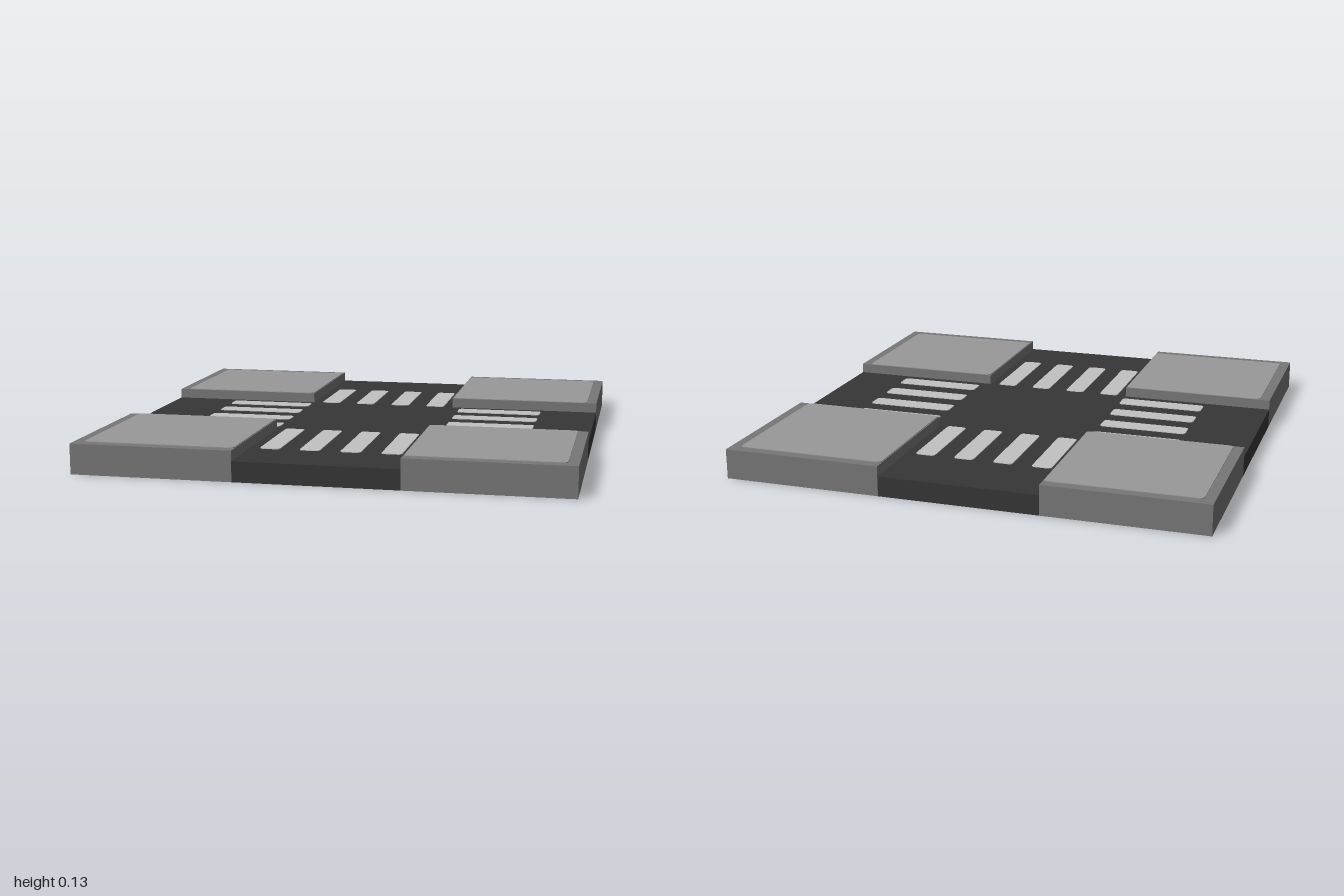
import * as THREE from 'three';

const mat = (name, color) => {
  const m = new THREE.MeshStandardMaterial({ color });
  m.name = name;
  return m;
};

// Flat slab with rounded corners, lying on y between x0..x1 and z0..z1
function plate(name, material, x0, x1, z0, z1, y, thick, r) {
  const a = -z1, b = -z0; // shape y becomes -z once laid flat
  const s = new THREE.Shape();
  s.moveTo(x0 + r, a);
  s.lineTo(x1 - r, a).quadraticCurveTo(x1, a, x1, a + r);
  s.lineTo(x1, b - r).quadraticCurveTo(x1, b, x1 - r, b);
  s.lineTo(x0 + r, b).quadraticCurveTo(x0, b, x0, b - r);
  s.lineTo(x0, a + r).quadraticCurveTo(x0, a, x0 + r, a);
  const g = new THREE.ExtrudeGeometry(s, { depth: thick, bevelEnabled: false, curveSegments: 4 });
  g.rotateX(-Math.PI / 2);
  const mesh = new THREE.Mesh(g, material);
  mesh.name = name;
  mesh.position.y = y;
  return mesh;
}

// Box standing on y = 0
function block(name, material, x, z, w, h, d) {
  const mesh = new THREE.Mesh(new THREE.BoxGeometry(w, h, d), material);
  mesh.name = name;
  mesh.position.set(x, h / 2, z);
  return mesh;
}

export function createModel() {
  const asphalt = mat('asphalt', 0x363636);
  const kerb = mat('kerb', 0x777777);
  const paving = mat('paving', 0x999999);
  const paint = mat('roadPaint', 0xc2c2c2);

  const model = new THREE.Group();
  model.name = 'crossroads';
  const E = 1 / 3, ROAD = 0.083, KERB = 0.125, SKIN = 0.003;

  // Crossing roads
  model.add(block('mainRoad', asphalt, 0, 0, 2 * E, ROAD, 2));
  for (const s of [-1, 1]) model.add(block('sideRoad', asphalt, s * 2 * E, 0, 2 * E, ROAD, 2 * E));

  // Raised pavement corners; the underside matches the road
  const sides = [kerb, kerb, kerb, asphalt, kerb, kerb];
  for (const sx of [-1, 1]) for (const sz of [-1, 1]) {
    const corner = new THREE.Group();
    corner.name = 'pavementCorner';
    corner.add(block('kerbBlock', sides, sx * 2 * E, sz * 2 * E, 2 * E, KERB, 2 * E));
    const span = (s) => (s > 0 ? [0.337, 0.957] : [-0.957, -0.337]);
    corner.add(plate('pavingSlab', paving, ...span(sx), ...span(sz), KERB, SKIN, 0.02));
    model.add(corner);
  }

  // Zebra crossings on all four arms
  const crossings = new THREE.Group();
  crossings.name = 'zebraCrossings';
  for (const c of [-0.25, -0.085, 0.083, 0.25]) {
    const a = c - 0.042, b = c + 0.042;
    crossings.add(
      plate('frontStripe', paint, a, b, 0.333, 0.75, ROAD, SKIN, 0.017),
      plate('backStripe', paint, a, b, -0.71, -0.333, ROAD, SKIN, 0.017),
      plate('leftStripe', paint, 0.373, 0.75, a, b, ROAD, SKIN, 0.017),
      plate('rightStripe', paint, -0.71, -0.333, a, b, ROAD, SKIN, 0.017)
    );
  }
  model.add(crossings);
  return model;
}
